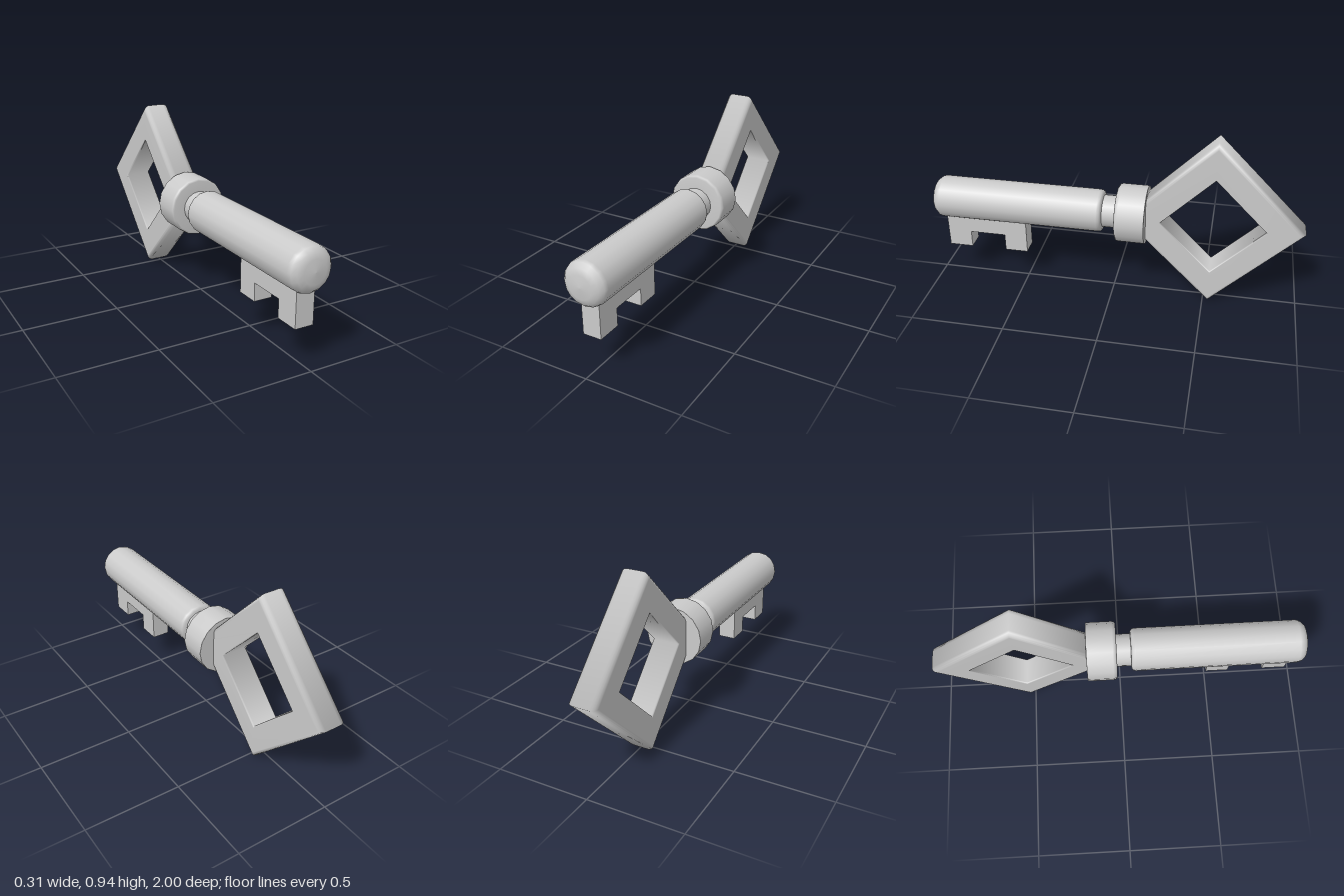
import * as THREE from 'three';

const AXIS_Y = 0.474;

export function createModel() {
  const group = new THREE.Group();
  const material = new THREE.MeshStandardMaterial({ color: 0xcccccc });

  const add = (name, geometry, y = 0, z = 0) => {
    const mesh = new THREE.Mesh(geometry, material);
    mesh.name = name;
    mesh.position.set(0, y, z);
    group.add(mesh);
  };

  // Turned part along z, from [radius, z] pairs running back to front
  const turned = (profile) =>
    new THREE.LatheGeometry(profile.map(([r, z]) => new THREE.Vector2(r, z)), 16).rotateX(Math.PI / 2);

  // Round shaft with a domed nose
  add('shaft', turned([
    [0.08, 0.055], [0.1, 0.057], [0.112, 0.066], [0.115, 0.08], [0.115, 0.945],
    [0.109, 0.965], [0.09, 0.985], [0.06, 0.995], [0, 1],
  ]), AXIS_Y);

  // Narrow neck between shaft and collar
  add('neck', turned([[0.087, -0.05], [0.087, 0.07]]), AXIS_Y);

  // Collar, flat at the back and softened at the front
  add('collar', turned([
    [0, -0.178], [0.156, -0.178], [0.157, -0.177], [0.157, -0.04],
    [0.154, -0.027], [0.145, -0.02], [0.08, -0.02],
  ]), AXIS_Y);

  // Diamond bow: a rounded rectangular section turned in four sides about x
  const inner = 0.273, outer = 0.472, half = 0.073;
  const section = [];
  const corner = (r, x, radius, start) => {
    for (let i = 0; i <= 4; i++) {
      const a = start + (i / 4) * Math.PI / 2;
      section.push(new THREE.Vector2(r + radius * Math.cos(a), x + radius * Math.sin(a)));
    }
  };
  const ri = 0.008, ro = 0.03;
  corner(inner + ri, -half + ri, ri, Math.PI);
  corner(outer - ro, -half + ro, ro, -Math.PI / 2);
  corner(outer - ro, half - ro, ro, 0);
  corner(inner + ri, half - ri, ri, Math.PI / 2);
  section.push(section[0].clone());
  add('bow', new THREE.LatheGeometry(section, 4).rotateZ(Math.PI / 2), AXIS_Y, -0.528);

  // Two-toothed bit, drawn in (-z, y) and extruded across x
  const bit = new THREE.Shape([
    [-0.935, 0.4], [-0.935, 0.19], [-0.805, 0.19], [-0.805, 0.285],
    [-0.61, 0.285], [-0.61, 0.19], [-0.485, 0.19], [-0.485, 0.4],
  ].map(([u, y]) => new THREE.Vector2(u, y)));
  add('bit', new THREE.ExtrudeGeometry(bit, { depth: 0.098, bevelEnabled: false })
    .translate(0, 0, -0.049).rotateY(Math.PI / 2));

  return group;
}
